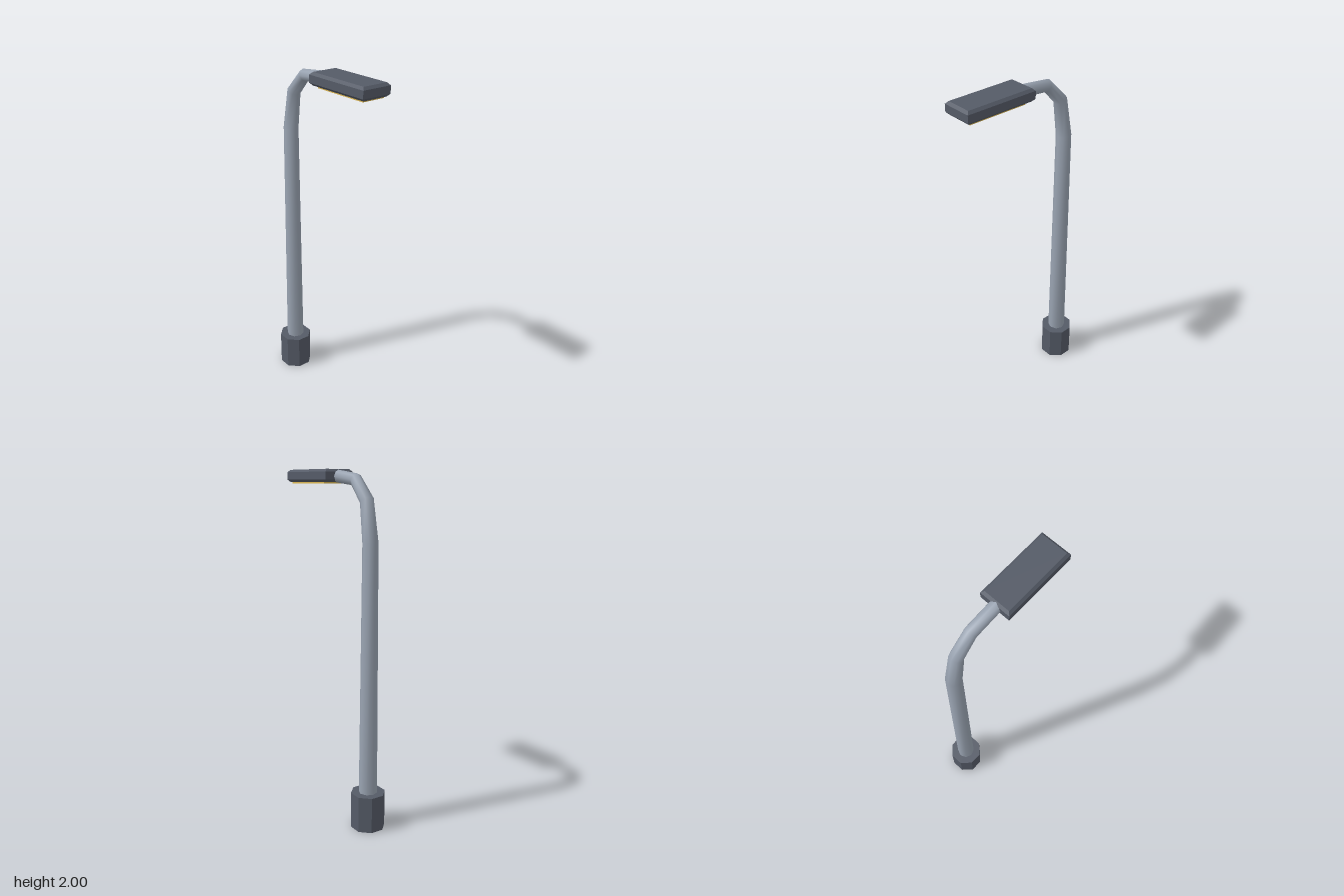
import * as THREE from 'three';

const SIDES = 8;
const POLE_Z = -0.316;

// Tapered tube swept along a path in the YZ plane; stations are [y, z, radius]
function sweepTube(stations) {
  const positions = [], index = [];
  const dir = (a, b) => new THREE.Vector2(b[1] - a[1], b[0] - a[0]).normalize();
  stations.forEach((s, i) => {
    const t = new THREE.Vector2();
    if (i > 0) t.add(dir(stations[i - 1], s));
    if (i < stations.length - 1) t.add(dir(s, stations[i + 1]));
    t.normalize();
    for (let k = 0; k < SIDES; k++) {
      const a = (k / SIDES) * Math.PI * 2;
      const c = Math.cos(a) * s[2];
      positions.push(Math.sin(a) * s[2], s[0] - t.x * c, s[1] + t.y * c);
      if (i === stations.length - 1) continue;
      const p = i * SIDES + k, q = i * SIDES + (k + 1) % SIDES;
      index.push(p, q, q + SIDES, p, q + SIDES, p + SIDES);
    }
  });
  const geo = new THREE.BufferGeometry();
  geo.setAttribute('position', new THREE.Float32BufferAttribute(positions, 3));
  geo.setIndex(index);
  geo.computeVertexNormals();
  return geo;
}

// Rectangular slab with chamfered top and bottom edges
function chamferedSlab(width, height, length, chamfer) {
  const w = width / 2 - chamfer, l = length / 2 - chamfer;
  const shape = new THREE.Shape([
    new THREE.Vector2(-w, -l), new THREE.Vector2(w, -l),
    new THREE.Vector2(w, l), new THREE.Vector2(-w, l),
  ]);
  const geo = new THREE.ExtrudeGeometry(shape, {
    depth: height - 2 * chamfer, bevelEnabled: true, bevelSegments: 1,
    bevelThickness: chamfer, bevelSize: chamfer,
  });
  geo.rotateX(-Math.PI / 2);
  geo.center();
  return geo;
}

export function createModel() {
  const darkMetal = new THREE.MeshStandardMaterial({ color: 0x555b67 });
  darkMetal.name = 'darkMetal';
  const paleMetal = new THREE.MeshStandardMaterial({ color: 0x9aa4b2 });
  paleMetal.name = 'paleMetal';
  const lampYellow = new THREE.MeshStandardMaterial({ color: 0xd9b450 });
  lampYellow.name = 'lampYellow';

  const group = new THREE.Group();
  group.name = 'streetLamp';
  const add = (name, geo, material, x, y, z) => {
    const mesh = new THREE.Mesh(geo, material);
    mesh.name = name;
    mesh.position.set(x, y, z);
    group.add(mesh);
  };

  // Octagonal foot with flat faces toward the axes
  const foot = new THREE.CylinderGeometry(0.099, 0.099, 0.21, SIDES, 1, false, Math.PI / SIDES)
    .toNonIndexed();
  foot.computeVertexNormals();
  add('base', foot, darkMetal, 0, 0.105, POLE_Z);

  // Tapering pole that bends forward into the arm
  add('pole', sweepTube([
    [0.01, POLE_Z, 0.054],
    [1.62, POLE_Z + 0.003, 0.043],
    [1.837, -0.277, 0.038],
    [1.943, -0.175, 0.035],
    [1.963, 0.01, 0.035],
  ]), paleMetal, 0, 0, 0);

  // Lamp head and the light panel under it
  add('lampHead', chamferedSlab(0.176, 0.07, 0.423, 0.014), darkMetal, 0, 1.965, 0.194);
  add('lightPanel', new THREE.BoxGeometry(0.136, 0.009, 0.35), lampYellow, 0, 1.9265, 0.206);

  return group;
}
